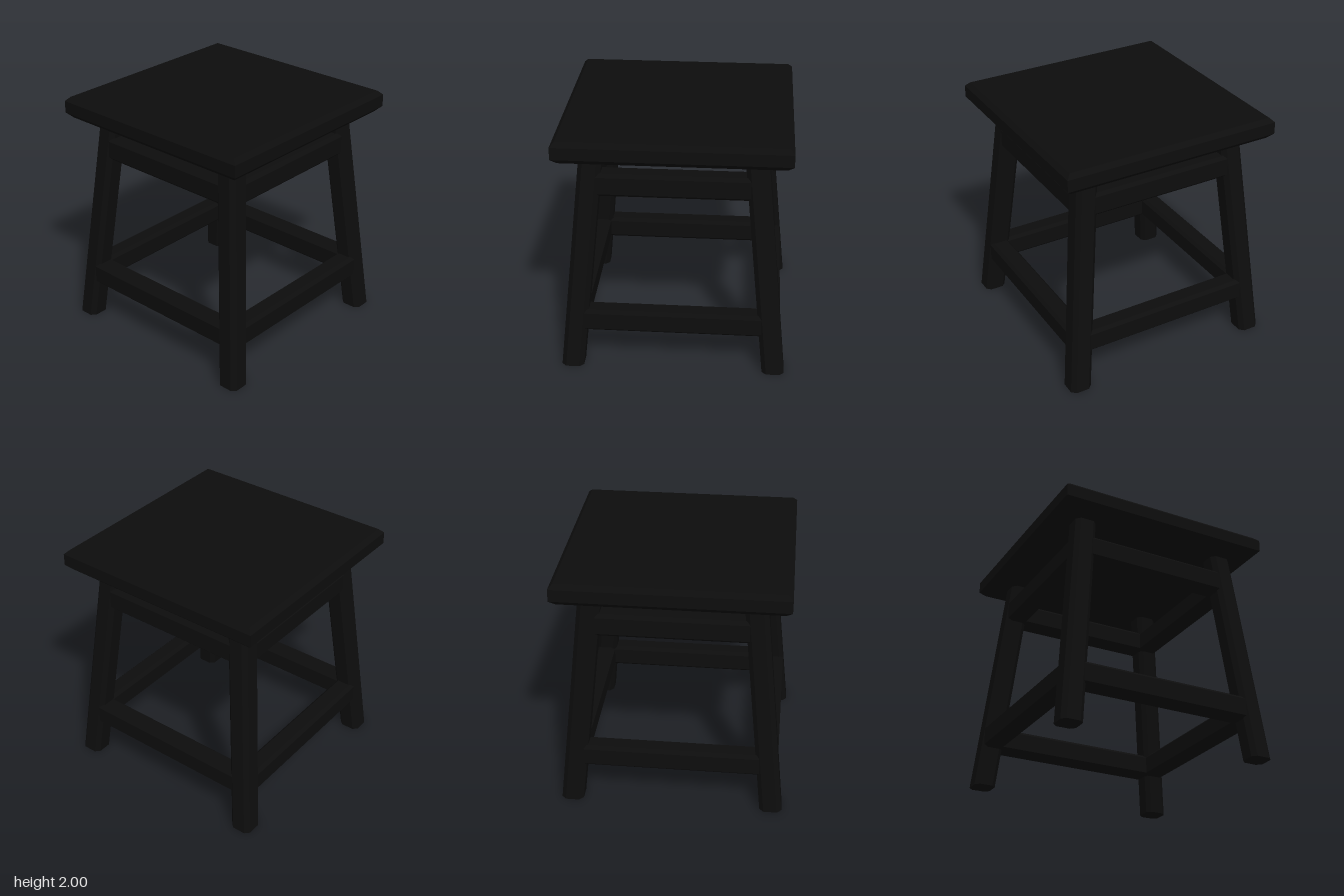
import * as THREE from 'three';

const black = new THREE.MeshStandardMaterial({ color: 0x0d0d0d, flatShading: true });

// Leg centre line leans inward as it rises
const SPLAY = 0.1;
const legCentre = (y) => 0.817 - SPLAY * y;

// Bar along z with its four long edges chamfered
function chamferedBar(w, h, length, c) {
  const a = w / 2, b = h / 2;
  const shape = new THREE.Shape([
    [a - c, -b], [a, -b + c], [a, b - c], [a - c, b],
    [-a + c, b], [-a, b - c], [-a, -b + c], [-a + c, -b],
  ].map(([x, y]) => new THREE.Vector2(x, y)));
  return new THREE.ExtrudeGeometry(shape, { depth: length, bevelEnabled: false });
}

export function createModel() {
  const group = new THREE.Group();
  const add = (name, geometry) => {
    const mesh = new THREE.Mesh(geometry, black);
    mesh.name = name;
    group.add(mesh);
    return mesh;
  };

  // Square seat with chamfered upper and lower edges
  const profile = [[0, 1.82], [0.86, 1.82], [0.907, 1.866], [0.907, 1.965], [0.872, 2], [0, 2]]
    .map(([r, y]) => new THREE.Vector2(r * Math.SQRT2, y));
  add('seat', new THREE.LatheGeometry(profile, 4, Math.PI / 4));

  // Splayed legs, sheared so that both ends stay level
  for (const sx of [-1, 1]) {
    for (const sz of [-1, 1]) {
      const leg = chamferedBar(0.18, 0.18, 1.83, 0.035).rotateX(-Math.PI / 2);
      leg.applyMatrix4(new THREE.Matrix4().set(
        1, -sx * SPLAY, 0, sx * legCentre(0),
        0, 1, 0, 0,
        0, -sz * SPLAY, 1, sz * legCentre(0),
        0, 0, 0, 1));
      leg.computeVertexNormals();
      add(`${sz > 0 ? 'front' : 'back'}${sx > 0 ? 'Left' : 'Right'}Leg`, leg);
    }
  }

  // Upper and lower rails on all four sides
  for (const [level, y] of [['upper', 1.578], ['lower', 0.415]]) {
    const r = legCentre(y);
    ['Left', 'Front', 'Right', 'Back'].forEach((side, i) => {
      const rail = chamferedBar(0.165, 0.19, 2 * r, 0.025).translate(r, y, -r);
      add(`${level}${side}Rail`, rail.rotateY(-i * Math.PI / 2));
    });
  }
  return group;
}
